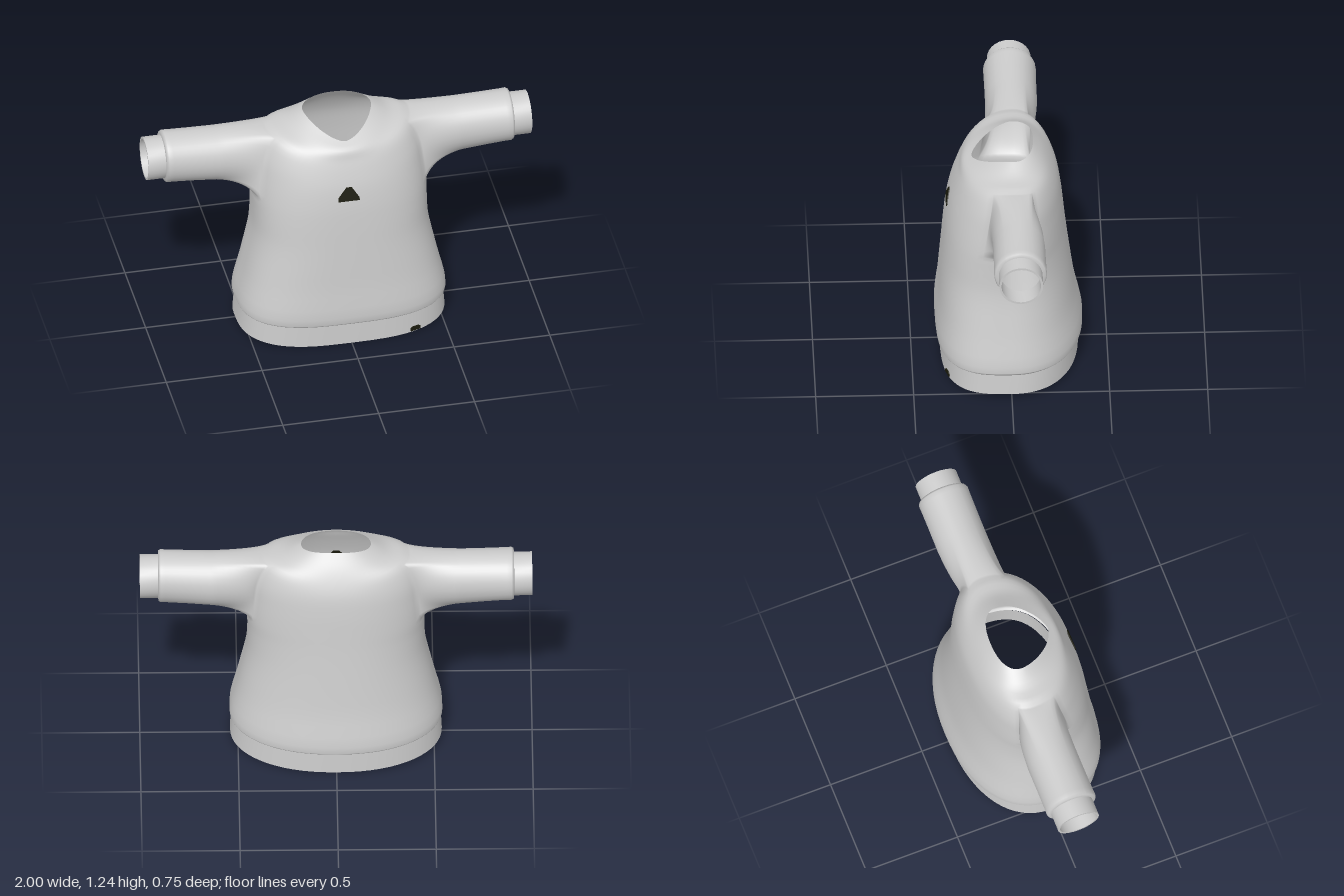
import * as THREE from 'three';
import { mergeVertices, toCreasedNormals } from 'three/addons/utils/BufferGeometryUtils.js';

const COLS = 64, SUB = 4;          // columns round the body, rows between control rings
const ARM = 4;                     // half width of the armhole in columns
const ARM_LOW = 5 * SUB, ARM_TOP = 8 * SUB;

// Closed horizontal loop: half width, front/back/centre z, heights at front/side/back, squareness
function ring([a, f, b, c, yf, ys, yb, nf, nb]) {
  return Array.from({ length: COLS }, (_, j) => {
    const t = (j / COLS) * Math.PI * 2, co = Math.cos(t), si = Math.sin(t);
    const front = si > 0, e = 2 / (front ? nf : nb);
    return new THREE.Vector3(
      a * Math.sign(co) * Math.abs(co) ** e,
      ys + ((front ? yf : yb) - ys) * si * si,
      c + ((front ? f : b) - c) * Math.abs(si) ** e);
  });
}

// Skin a stack of closed loops, leaving out cells where skip(row, column) is true
function skin(rings, out = [], skip = () => false) {
  const n = rings[0].length;
  for (let r = 0; r < rings.length - 1; r++) for (let j = 0; j < n; j++) {
    if (skip(r, j)) continue;
    const k = (j + 1) % n;
    const p = rings[r][j], q = rings[r + 1][j], s = rings[r][k], t = rings[r + 1][k];
    for (const v of [p, q, s, s, q, t]) out.push(v.x, v.y, v.z);
  }
  return out;
}

function toGeometry(positions) {
  const g = new THREE.BufferGeometry();
  g.setAttribute('position', new THREE.Float32BufferAttribute(positions, 3));
  return g;
}

// Sleeve loops flowing out of an armhole loop; side is +1 or -1
function sleeveRings(loop, side) {
  const angles = loop.map(p => Math.atan2(p.y - 0.985, p.z + 0.02));
  const circle = (x, y, ry, rz) => angles.map(t =>
    new THREE.Vector3(side * x, y + ry * Math.sin(t), -0.033 + rz * Math.cos(t)));
  const end = circle(0.64, 1.015, 0.143, 0.133);
  const rings = [];
  for (let i = 0; i < 10; i++) {
    rings.push(loop.map((p, j) => {
      const mid = p.clone().lerp(end[j], 0.8);
      mid.x = p.x + side * 0.05;
      return new THREE.QuadraticBezierCurve3(p, mid, end[j]).getPoint(i / 10);
    }));
  }
  rings.push(end,
    circle(0.76, 1.022, 0.138, 0.133), circle(0.87, 1.028, 0.135, 0.134),
    circle(0.895, 1.029, 0.136, 0.135), circle(0.906, 1.029, 0.13, 0.129),
    circle(0.908, 1.029, 0.111, 0.111));
  return rings;
}

// Torso and both sleeves as one smooth skin
function bodyGeometry() {
  const control = [
    [0.530, 0.355, -0.355, 0, 0.12, 0.133, 0.12, 3, 2.2],
    [0.543, 0.375, -0.375, 0, 0.138, 0.15, 0.138, 3, 2.2],
    [0.502, 0.361, -0.338, 0, 0.35, 0.35, 0.35, 2.9, 2.2],
    [0.458, 0.345, -0.308, 0, 0.57, 0.57, 0.57, 2.7, 2.2],
    [0.452, 0.333, -0.290, 0, 0.72, 0.71, 0.72, 2.6, 2.2],
    [0.454, 0.322, -0.280, -0.01, 0.82, 0.80, 0.82, 2.5, 2.2],
    [0.445, 0.303, -0.268, -0.02, 0.92, 0.92, 0.93, 2.4, 2.2],
    [0.425, 0.278, -0.250, -0.03, 1.00, 1.05, 1.03, 2.3, 2.2],
    [0.370, 0.255, -0.222, -0.03, 1.06, 1.152, 1.10, 2.2, 2.2],
    [0.270, 0.235, -0.180, -0.03, 1.11, 1.172, 1.17, 2.0, 2.2],
    [0.178, 0.190, -0.125, -0.02, 1.14, 1.218, 1.235, 1.6, 2.3],
  ].map(ring);
  const rows = (control.length - 1) * SUB;
  const curves = control[0].map((_, j) =>
    new THREE.CatmullRomCurve3(control.map(r => r[j]), false, 'centripetal'));
  const rings = Array.from({ length: rows + 1 }, (_, i) => curves.map(c => c.getPoint(i / rows)));

  const half = COLS / 2;
  const inArmhole = (r, j) => {
    const k = (j + ARM) % half;
    return r >= ARM_LOW && r < ARM_TOP && k < 2 * ARM;
  };
  const positions = skin(rings, [], inArmhole);

  for (const [side, centre] of [[1, 0], [-1, half]]) {
    const at = (r, j) => rings[r][(centre + j + COLS) % COLS];
    const loop = [];
    for (let j = ARM; j > -ARM; j--) loop.push(at(ARM_TOP, j));
    for (let r = ARM_TOP; r > ARM_LOW; r--) loop.push(at(r, -ARM));
    for (let j = -ARM; j < ARM; j++) loop.push(at(ARM_LOW, j));
    for (let r = ARM_LOW; r < ARM_TOP; r++) loop.push(at(r, ARM));
    skin(sleeveRings(loop, side), positions);
  }
  const g = mergeVertices(toGeometry(positions), 1e-5);
  g.computeVertexNormals();
  return g;
}

export function createModel() {
  const model = new THREE.Group();
  model.name = 'sweatshirt';
  const cloth = new THREE.MeshStandardMaterial({ color: 0xcccccc, side: THREE.DoubleSide });
  cloth.name = 'light grey cloth';
  const dark = new THREE.MeshStandardMaterial({ color: 0x1c1c0e, side: THREE.DoubleSide });
  dark.name = 'dark patch';
  const add = (name, geometry, material) => {
    const mesh = new THREE.Mesh(geometry, material);
    mesh.name = name;
    model.add(mesh);
    return mesh;
  };

  add('bodyAndSleeves', bodyGeometry(), cloth);

  // Hem band with a folded lower rim
  const hem = [
    [0.512, 0.335, -0.335, 0, 0.12, 0.133, 0.12, 3, 2.2],
    [0.522, 0.335, -0.335, 0, 0.002, 0.024, 0.006, 3, 2.2],
    [0.540, 0.353, -0.353, 0, 0, 0.022, 0.004, 3, 2.2],
    [0.530, 0.350, -0.348, 0, 0.122, 0.135, 0.122, 3, 2.2],
  ].map(ring);
  add('hemBand', toCreasedNormals(toGeometry(skin(hem)), 0.7), cloth);

  // Cuffs: short tubes with a visible thickness
  const cuffProfile = [[0.112, 0.9], [0.112, 1], [0.101, 1], [0.101, 0.9]]
    .map(([r, x]) => new THREE.Vector2(r, x));
  const cuffGeometry = toCreasedNormals(new THREE.LatheGeometry(cuffProfile, 28), 0.6);
  for (const [name, side] of [['leftCuff', 1], ['rightCuff', -1]]) {
    const cuff = add(name, cuffGeometry, cloth);
    cuff.rotation.z = -side * Math.PI / 2;
    cuff.position.set(0, 1.028, -0.033);
  }

  // Thin chest patch and hem tag
  const plate = points => new THREE.ExtrudeGeometry(
    new THREE.Shape(points.map(([x, y]) => new THREE.Vector2(x, y))),
    { depth: 0.008, bevelEnabled: false });
  const patch = add('chestPatch', plate([[-0.062, -0.035], [0.048, -0.035], [0.048, -0.02],
    [0.01, 0.04], [-0.018, 0.04], [-0.062, -0.015]]), dark);
  patch.position.set(0, 0.89, 0.306);
  patch.rotation.x = -0.2;
  const tag = add('hemTag', plate([[-0.028, -0.011], [0.028, -0.011], [0.028, 0.005],
    [0.016, 0.013], [-0.018, 0.013], [-0.028, 0.005]]), dark);
  tag.position.set(0.337, 0.022, 0.317);
  tag.rotation.y = 0.31;

  return model;
}
